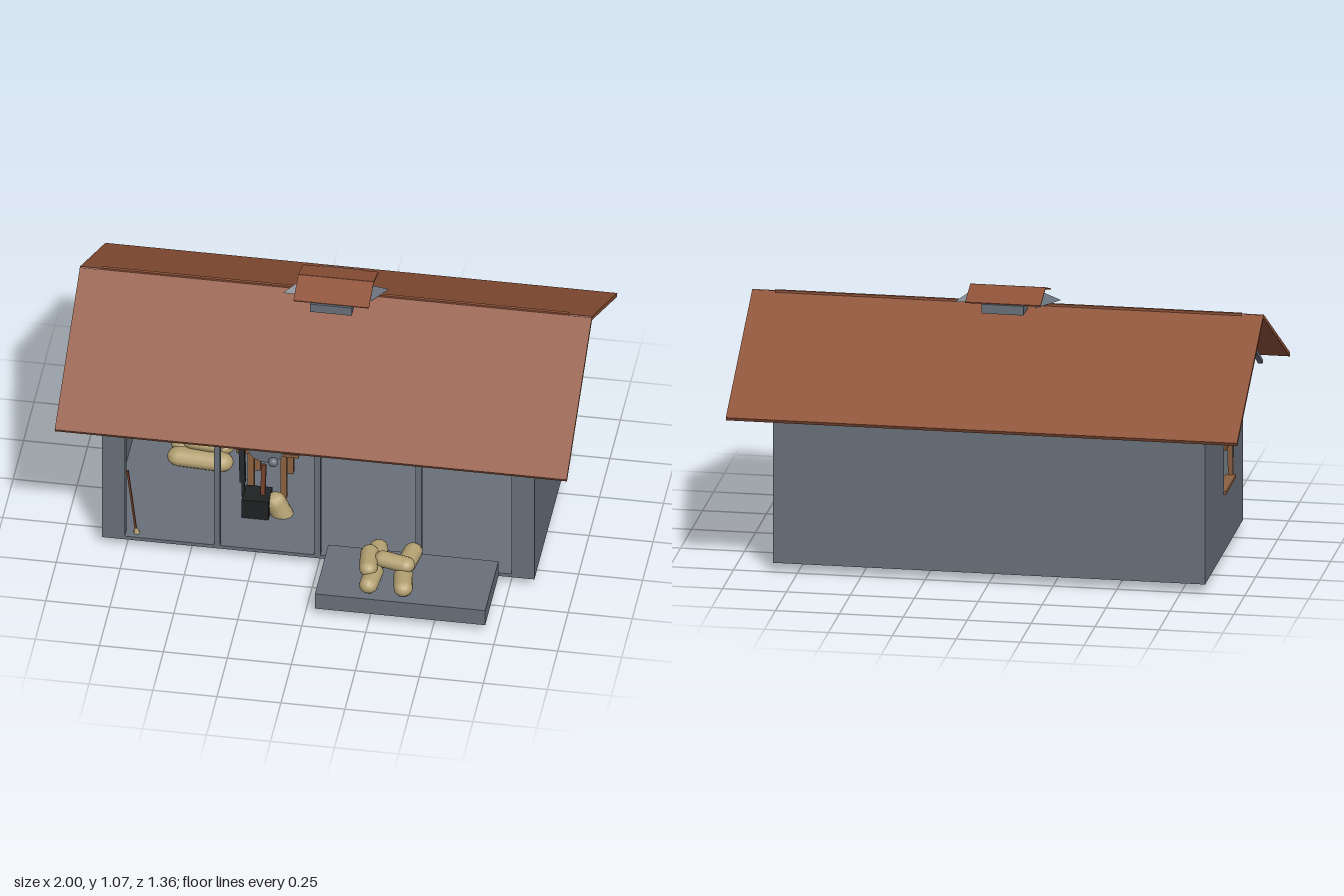
import * as THREE from 'three';

const mat = (name, color, side = THREE.FrontSide) => {
  const m = new THREE.MeshStandardMaterial({ color, side });
  m.name = name;
  return m;
};

const RIDGE_Z = -0.07;

export function createModel() {
  const model = new THREE.Group();
  model.name = 'workshop';
  const stone = mat('greyStone', 0x68707a, THREE.DoubleSide);
  const tile = mat('roofTile', 0x8e5238);
  const wood = mat('brownWood', 0x8c6040);
  const redWood = mat('redWood', 0x6e3b26);
  const sackCloth = mat('sackCloth', 0xb5a273);
  const iron = mat('blackIron', 0x202122);

  const add = (name, geo, material, parent = model) => {
    const m = new THREE.Mesh(geo, material);
    m.name = name;
    parent.add(m);
    return m;
  };
  // Axis-aligned box given by its limits
  const box = (name, material, x0, x1, y0, y1, z0, z1, parent = model) => {
    const m = add(name, new THREE.BoxGeometry(x1 - x0, y1 - y0, z1 - z0), material, parent);
    m.position.set((x0 + x1) / 2, (y0 + y1) / 2, (z0 + z1) / 2);
    return m;
  };
  // Bar from a to b, w wide across x and d deep
  const bar = (name, material, a, b, w, d, parent = model) => {
    const p = new THREE.Vector3(...a), q = new THREE.Vector3(...b);
    const dir = q.clone().sub(p);
    const m = add(name, new THREE.BoxGeometry(w, dir.length(), d), material, parent);
    m.position.copy(p).add(q).multiplyScalar(0.5);
    m.quaternion.setFromUnitVectors(new THREE.Vector3(0, 1, 0), dir.normalize());
    return m;
  };
  // Rounded sack lying along a direction
  const sack = (x, y, z, len, r, dir, squash = 1) => {
    const holder = new THREE.Group();
    holder.name = 'sack';
    holder.position.set(x, y, z);
    holder.scale.y = squash;
    const m = add('sackBody', new THREE.CapsuleGeometry(r, len - 2 * r, 5, 10), sackCloth, holder);
    m.quaternion.setFromUnitVectors(new THREE.Vector3(0, 1, 0), new THREE.Vector3(...dir).normalize());
    model.add(holder);
  };

  // Floor, back wall and platform
  box('floor', stone, -0.845, 0.845, 0.03, 0.045, -0.5, 0.36);
  box('backWall', stone, -0.845, 0.845, 0.045, 0.65, -0.5, -0.485);
  box('platform', stone, 0.04, 0.705, 0.03, 0.1, 0.36, 0.68);

  // End walls with a window; the second is the first turned half round
  for (const turn of [0, Math.PI]) {
    const end = new THREE.Group();
    end.name = turn ? 'rightEnd' : 'leftEnd';
    end.position.z = RIDGE_Z;
    end.rotation.y = turn;
    model.add(end);
    const x0 = 0.825, x1 = 0.845;
    box('wallBelowWindow', stone, x0, x1, 0.045, 0.275, -0.43, 0.43, end);
    box('wallAboveWindow', stone, x0, x1, 0.447, 0.65, -0.43, 0.43, end);
    box('wallBesideWindow', stone, x0, x1, 0.275, 0.447, 0, 0.43, end);
    box('wallBesideWindow', stone, x0, x1, 0.275, 0.447, -0.215, -0.43, end);
    box('windowLintel', wood, 0.815, 0.855, 0.443, 0.455, -0.22, 0.012, end);
    box('windowSill', wood, 0.815, 0.855, 0.266, 0.279, -0.22, 0.012, end);
    bar('windowPost', wood, [0.835, 0.278, -0.212], [0.835, 0.445, -0.195], 0.02, 0.012, end);
    box('endTopBeam', stone, 0.755, 0.78, 0.62, 0.65, -0.43, 0.43, end);
  }

  // Front corners, top beams and posts
  for (const s of [-1, 1]) {
    const c = box('frontCorner', stone, 0.755, 0.845, 0.045, 0.65, 0.32, 0.36);
    c.position.x *= s;
    const b = box('backCornerPost', stone, 0.8, 0.83, 0.045, 0.65, -0.49, -0.46);
    b.position.x *= s;
  }
  box('frontTopBeam', stone, -0.76, 0.76, 0.62, 0.65, 0.335, 0.36);
  box('backTopBeam', stone, -0.83, 0.83, 0.62, 0.65, -0.49, -0.46);
  const posts = [-0.765, -0.395, -0.003, 0.393, 0.765];
  posts.forEach((x, i) => {
    if (i > 0 && i < 4) box('frontPost', stone, x - 0.012, x + 0.012, 0.045, 0.62, 0.337, 0.36);
    for (const s of [-1, 1]) {
      if ((i === 0 && s < 0) || (i === 4 && s > 0)) continue;
      bar('brace', stone, [x + s * 0.008, 0.548, 0.348], [x + s * 0.058, 0.625, 0.348], 0.012, 0.014);
    }
  });

  // Main roof: tiled slopes over three pairs of rafters
  for (const s of [-1, 1]) {
    bar('roofSlope', tile, [0, 0.989, RIDGE_Z], [0, 0.654, RIDGE_Z + s * 0.603], 2, 0.015);
    for (const x of [-0.9, 0, 0.9])
      bar('rafter', stone, [x, 0.966, RIDGE_Z - s * 0.003], [x, 0.647, RIDGE_Z + s * 0.513], 0.018, 0.016);
  }
  box('ridgeBoard', tile, -0.915, 0.91, 0.975, 1.0, -0.082, -0.07);

  // Smoke vent on the ridge
  box('ventBase', stone, -0.082, 0.082, 0.983, 1.02, -0.195, 0.055);
  for (const s of [-1, 1]) {
    bar('ventRoof', tile, [0, 1.06, RIDGE_Z], [0, 1.021, RIDGE_Z + s * 0.116], 0.295, 0.005);
    const tri = new THREE.BufferGeometry().setFromPoints([
      new THREE.Vector3(0.2 * s, 1.0, RIDGE_Z - s * 0.045),
      new THREE.Vector3(0.12 * s, 1.0, RIDGE_Z + s * 0.08),
      new THREE.Vector3(0.13 * s, 1.045, RIDGE_Z),
      new THREE.Vector3(0.2 * s, 1.0, RIDGE_Z - s * 0.045),
      new THREE.Vector3(0.13 * s, 1.045, RIDGE_Z),
      new THREE.Vector3(0.12 * s, 1.0, RIDGE_Z - s * 0.045),
    ]);
    tri.computeVertexNormals();
    add('ventGable', tri, stone);
  }

  // Boiler drum with hood, resting on a trestle
  const drum = add('drum', new THREE.CylinderGeometry(0.075, 0.075, 0.235, 20), [iron, stone, stone]);
  drum.rotation.x = Math.PI / 2;
  drum.position.set(-0.255, 0.305, -0.068);
  const rim = add('drumRim', new THREE.CylinderGeometry(0.076, 0.076, 0.012, 20), stone);
  rim.rotation.x = Math.PI / 2;
  rim.position.set(-0.255, 0.305, -0.19);
  const hood = add('hood', new THREE.CylinderGeometry(0.02, 0.058, 0.145, 14), wood);
  hood.position.set(-0.255, 0.453, RIDGE_Z);
  for (const z of [-0.15, 0.01]) {
    box('trestleRail', wood, -0.375, -0.13, 0.25, 0.264, z - 0.02, z + 0.02);
    for (const x of [-0.318, -0.19])
      box('trestleLeg', wood, x - 0.012, x + 0.012, 0.045, 0.25, z - 0.012, z + 0.012);
  }
  const tap = add('tap', new THREE.SphereGeometry(0.02, 10, 8), stone);
  tap.position.set(-0.225, 0.24, 0.055);

  // Iron bin, poker and mallet handle
  box('ironBin', iron, -0.33, -0.225, 0.022, 0.13, 0.07, 0.17);
  bar('poker', iron, [-0.33, 0.11, 0.12], [-0.35, 0.4, 0.05], 0.012, 0.014);
  bar('pokerGrip', iron, [-0.335, 0.17, 0.105], [-0.345, 0.32, 0.07], 0.022, 0.025);
  bar('malletHandle', redWood, [-0.255, 0.12, 0.12], [-0.255, 0.25, 0.09], 0.018, 0.018);

  // Broom leaning in the corner
  bar('broomHandle', redWood, [-0.715, 0.05, 0.33], [-0.753, 0.32, 0.305], 0.008, 0.008);
  const broom = add('broomHead', new THREE.CylinderGeometry(0.007, 0.017, 0.045, 8), sackCloth);
  broom.position.set(-0.714, 0.046, 0.329);
  broom.rotation.z = 0.14;

  // Sacks indoors
  sack(-0.54, 0.08, -0.13, 0.26, 0.048, [1, 0, 0.06], 0.75);
  sack(-0.545, 0.08, -0.23, 0.25, 0.048, [1, 0, -0.08], 0.75);
  sack(-0.535, 0.128, -0.18, 0.17, 0.045, [1, 0, 0.12], 0.75);
  sack(-0.19, 0.064, 0.115, 0.15, 0.042, [-0.5, 1, 0]);

  // Sacks on the platform
  for (const [x, tilt] of [[0.245, 0.08], [0.37, -0.15]]) {
    sack(x, 0.133, 0.435, 0.16, 0.038, [tilt, 0, 1], 0.88);
    sack(x, 0.133, 0.588, 0.16, 0.038, [-tilt, 0, 1], 0.88);
  }
  sack(0.225, 0.165, 0.52, 0.17, 0.036, [0.1, 0, 1], 0.9);
  sack(0.325, 0.171, 0.52, 0.165, 0.036, [1, 0, 0.25], 0.9);

  return model;
}
